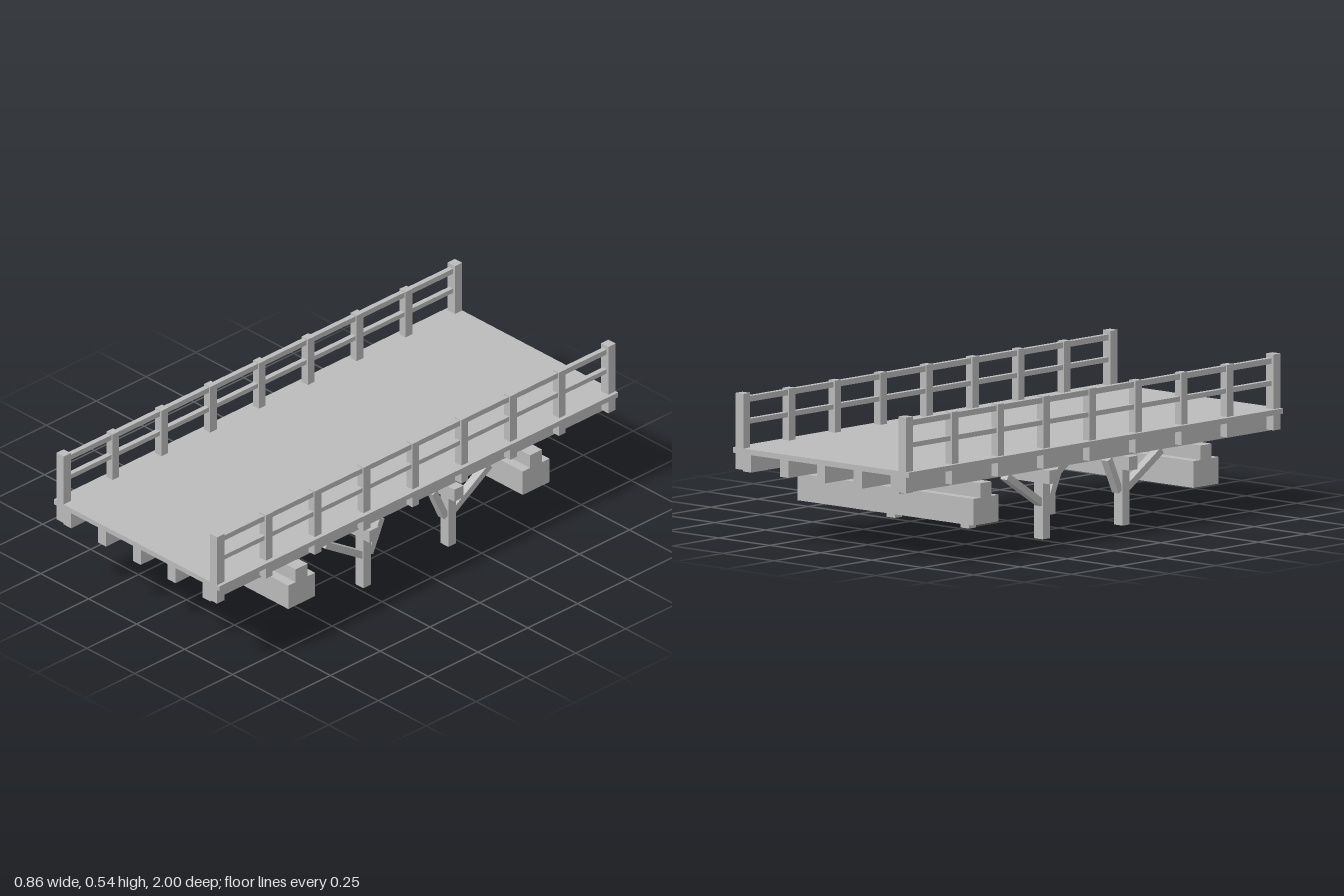
import * as THREE from 'three';

export function createModel() {
  const model = new THREE.Group();
  model.name = 'footbridge';
  const grey = new THREE.MeshStandardMaterial({ color: 0xbbbbbb });
  grey.name = 'plain grey';

  // box given by its limits on each axis
  function box(name, [x0, x1], [y0, y1], [z0, z1]) {
    const mesh = new THREE.Mesh(new THREE.BoxGeometry(x1 - x0, y1 - y0, z1 - z0), grey);
    mesh.position.set((x0 + x1) / 2, (y0 + y1) / 2, (z0 + z1) / 2);
    mesh.name = name;
    model.add(mesh);
  }
  const around = (c, size) => [c - size / 2, c + size / 2];

  // slanted strut in the y-z plane between two centre-line points
  function strut(name, x, [z0, y0], [z1, y1], thickness) {
    const dz = z1 - z0, dy = y1 - y0;
    const mesh = new THREE.Mesh(new THREE.BoxGeometry(0.032, thickness, Math.hypot(dz, dy)), grey);
    mesh.position.set(x, (y0 + y1) / 2, (z0 + z1) / 2);
    mesh.rotation.x = -Math.atan2(dy, dz);
    mesh.name = name;
    model.add(mesh);
  }

  // deck and the long beams under it
  box('deck', [-0.432, 0.432], [0.32, 0.34], [-1, 1]);
  for (const x of [-0.363, -0.181, 0, 0.181, 0.363])
    box('deckBeam', around(x, 0.041), [0.256, 0.32], [-0.999, 0.999]);

  // railings
  for (const side of [-1, 1]) {
    const x = side * 0.4;
    for (let i = -4; i <= 4; i++) {
      if (Math.abs(i) === 4)
        box('endPost', around(x, 0.038), [0.262, 0.54], around(Math.sign(i) * 0.981, 0.037));
      else
        box('railPost', around(x, 0.032), [0.265, 0.53], around(i * 0.245, 0.034));
    }
    box('topRail', around(x, 0.02), [0.505, 0.526], [-0.97, 0.97]);
    box('middleRail', around(x, 0.02), [0.425, 0.443], [-0.97, 0.97]);
  }

  for (const end of [-1, 1]) {
    // stepped footing blocks
    box('footing', [-0.432, 0.432], [0.105, 0.203], around(end * 0.588, 0.134));
    box('footingStep', [-0.432, 0.432], [0.203, 0.256], around(end * 0.588, 0.06));

    // trestle: cross beam, columns and their braces
    const z = end * 0.213;
    box('crossBeam', [-0.42, 0.42], [0.206, 0.256], around(z, 0.046));
    for (const x of [-0.363, 0, 0.363]) {
      box('column', around(x, 0.042), [0, 0.206], around(z, 0.038));
      strut('longBrace', x, [end * 0.412, 0.25], [end * 0.222, 0.13], 0.026);
      strut('shortBrace', x, [end * 0.132, 0.25], [end * 0.19, 0.125], 0.026);
    }
  }
  return model;
}
